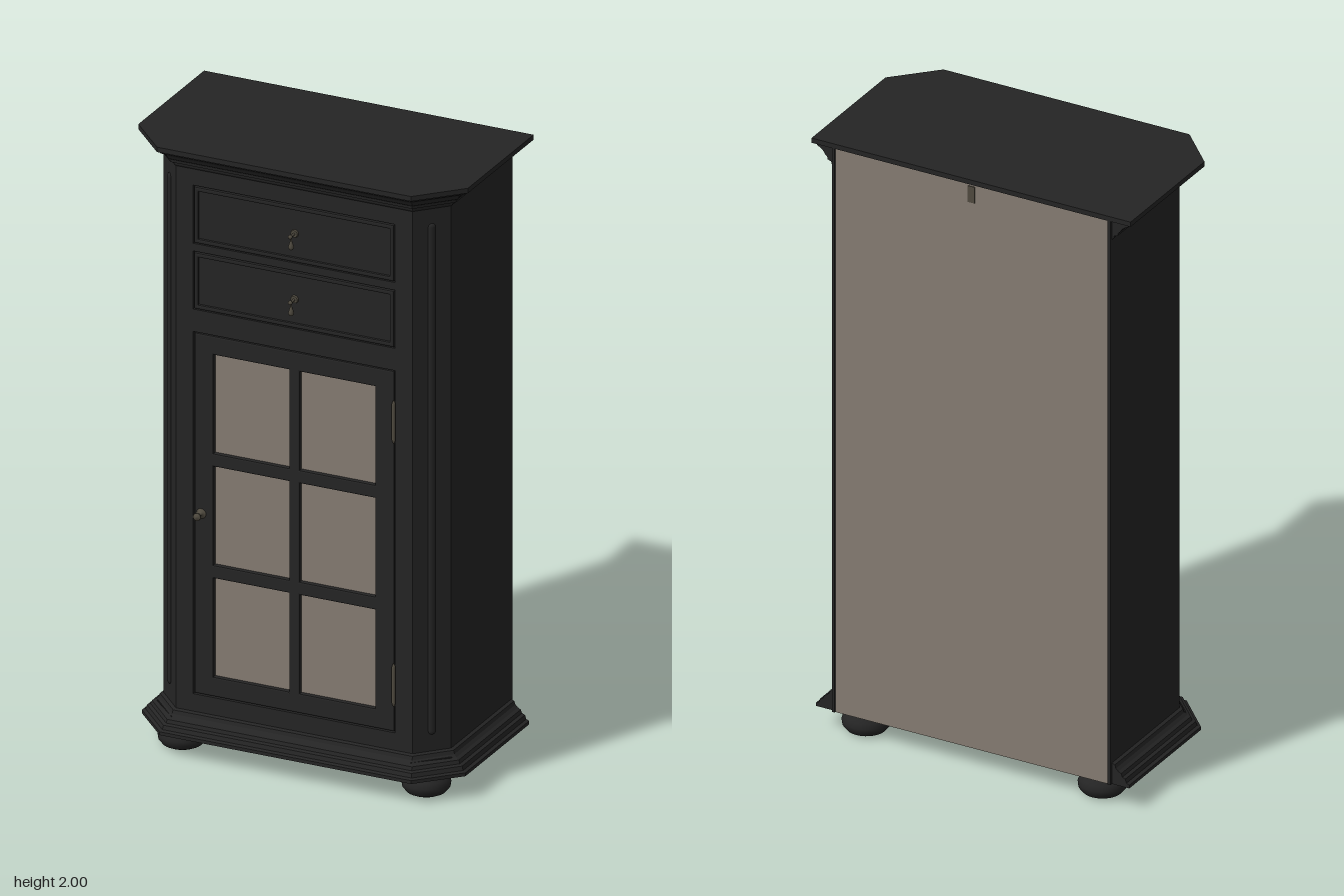
import * as THREE from 'three';

const paint = new THREE.MeshStandardMaterial({ name: 'black paint', color: 0x242424 });
const beige = new THREE.MeshStandardMaterial({ name: 'beige panel', color: 0x857c72, side: THREE.DoubleSide });
const metal = new THREE.MeshStandardMaterial({ name: 'aged metal', color: 0x4f4a3f });

const BACK = -0.28;

function add(parent, name, geometry, material, x = 0, y = 0, z = 0) {
  const mesh = new THREE.Mesh(geometry, material);
  mesh.name = name;
  mesh.position.set(x, y, z);
  parent.add(mesh);
  return mesh;
}

// Chamfered plan outline [x, z], grown by o on the front, corners and sides
function plan(o, back = BACK) {
  const k = o * Math.tan(Math.PI / 8);
  const right = [[0.48 + o, back], [0.48 + o, 0.13 + k], [0.395 + k, 0.22 + o]];
  return [...right, ...right.map(([x, z]) => [-x, z]).reverse()];
}

// Upright prism over a plan outline
function prism(points, y0, y1) {
  const shape = new THREE.Shape(points.map(([x, z]) => new THREE.Vector2(x, -z)));
  return new THREE.ExtrudeGeometry(shape, { depth: y1 - y0, bevelEnabled: false })
    .rotateX(-Math.PI / 2).translate(0, y0, 0);
}

// Moulding: sweeps a profile of [offset, y, back] round the plan
function moulding(profile) {
  const rings = profile.map(([o, y, back]) => plan(o, back).map(([x, z]) => [x, y, z]));
  const pos = [];
  for (let r = 0; r < rings.length - 1; r++) {
    const lo = rings[r], hi = rings[r + 1];
    for (let i = 0; i < lo.length; i++) {
      const j = (i + 1) % lo.length;
      pos.push(...lo[i], ...hi[i], ...hi[j], ...lo[i], ...hi[j], ...lo[j]);
    }
  }
  const g = new THREE.BufferGeometry();
  g.setAttribute('position', new THREE.Float32BufferAttribute(pos, 3));
  g.computeVertexNormals();
  return g;
}

// Rectangle outline from [x0, y0, x1, y1]
function rect([x0, y0, x1, y1], Type = THREE.Shape) {
  return new Type([[x0, y0], [x1, y0], [x1, y1], [x0, y1]].map(p => new THREE.Vector2(...p)));
}

const inset = ([x0, y0, x1, y1], d) => [x0 + d, y0 + d, x1 - d, y1 - d];

// Board with rectangular openings and softened edges
function board(outer, holes, z0, z1, bevel = 0) {
  const shape = rect(outer);
  shape.holes = holes.map(h => rect(h, THREE.Path));
  return new THREE.ExtrudeGeometry(shape, {
    depth: z1 - z0 - 2 * bevel, bevelEnabled: bevel > 0, bevelSize: bevel,
    bevelThickness: bevel, bevelOffset: -bevel, bevelSegments: 2,
  }).translate(0, 0, z0 + bevel);
}

const lathe = (pts, sides) => new THREE.LatheGeometry(pts.map(p => new THREE.Vector2(...p)), sides);

function createModel() {
  const model = new THREE.Group();
  model.name = 'cabinet';

  // Carcass with a shallow recess in front for the face frame
  const outline = plan(0);
  outline.splice(3, 0, [0.38, 0.22], [0.38, 0.198], [-0.38, 0.198], [-0.38, 0.22]);
  add(model, 'carcass', prism(outline, 0.115, 1.96), paint);

  // Face frame, drawers and door
  const drawers = [[-0.337, 1.46, 0.337, 1.65], [-0.337, 1.675, 0.337, 1.865]];
  const doorway = [-0.337, 0.203, 0.337, 1.387];
  add(model, 'faceFrame', board([-0.38, 0.12, 0.38, 1.95], [...drawers, doorway], 0.19, 0.22), paint);

  for (const d of drawers) {
    const drawer = new THREE.Group();
    drawer.name = 'drawer';
    const edge = inset(d, 0.003), inner = inset(d, 0.018);
    add(drawer, 'drawerBead', board(edge, [inner], 0.196, 0.223, 0.005), paint);
    add(drawer, 'drawerFront', board(inset(d, 0.01), [], 0.196, 0.216), paint);
    // Drop pull
    const y = (d[1] + d[3]) / 2;
    add(drawer, 'pullRose', new THREE.CylinderGeometry(0.011, 0.013, 0.006, 16).rotateX(Math.PI / 2), metal, 0, y, 0.219);
    add(drawer, 'pullPin', new THREE.CylinderGeometry(0.004, 0.004, 0.03, 10).rotateX(Math.PI / 2), metal, 0, y, 0.233);
    add(drawer, 'pullTip', new THREE.SphereGeometry(0.007, 12, 8), metal, 0, y, 0.247);
    add(drawer, 'pullDrop', lathe([[0, -0.045], [0.006, -0.043], [0.009, -0.035], [0.006, -0.025], [0.003, -0.015], [0.003, 0]], 12), metal, 0, y, 0.241);
    model.add(drawer);
  }

  const door = new THREE.Group();
  door.name = 'door';
  const panes = [];
  for (const y of [0.27, 0.635, 1.0])
    for (const x of [-0.27, 0.018]) panes.push([x, y, x + 0.252, y + 0.322]);
  add(door, 'doorFrame', board(inset(doorway, 0.003), panes, 0.199, 0.22, 0.005), paint);
  add(door, 'panes', board([-0.29, 0.25, 0.29, 1.34], [], 0.2, 0.206), beige);

  // Door knob and hinges
  const knob = lathe([[0.016, 0], [0.014, 0.004], [0.005, 0.007], [0.005, 0.022], [0.012, 0.027], [0.012, 0.032], [0, 0.035]], 16);
  add(door, 'doorKnob', knob.rotateX(Math.PI / 2), metal, -0.31, 0.797, 0.22);
  const hinge = lathe([[0, -0.072], [0.004, -0.066], [0.006, -0.058], [0.006, 0.058], [0.004, 0.066], [0, 0.072]], 12);
  for (const y of [0.363, 1.223]) add(door, 'hinge', hinge, metal, 0.337, y, 0.23);
  model.add(door);

  // Half-round strips on the chamfered corners
  for (const s of [-1, 1]) {
    const strip = add(model, 'cornerStrip', new THREE.CapsuleGeometry(0.012, 1.646, 4, 12), paint, s * 0.4375, 1.035, 0.175);
    strip.rotation.y = s * Math.PI / 4;
    strip.scale.z = 0.6;
  }

  // Cornice and top
  add(model, 'cornice', moulding([
    [0, 1.918], [0.006, 1.924], [0.008, 1.932], [0.02, 1.936], [0.022, 1.946], [0.028, 1.95],
    [0.034, 1.96], [0.044, 1.969], [0.056, 1.975], [0.058, 1.985],
  ]), paint);
  add(model, 'top', prism(plan(0.07, -0.29), 1.984, 2), paint);

  // Plinth moulding, hollow underneath
  add(model, 'plinth', moulding([
    [-0.04, 0.12, -0.26], [-0.04, 0.075, -0.26], [0.06, 0.075], [0.06, 0.086], [0.05, 0.09],
    [0.046, 0.103], [0.036, 0.107], [0.032, 0.118], [0.022, 0.123], [0.014, 0.131], [0.01, 0.142], [0, 0.146],
  ]), paint);

  // Bun feet on corner blocks
  const foot = lathe([[0, 0], [0.05, 0], [0.062, 0.006], [0.073, 0.02], [0.075, 0.034],
    [0.07, 0.05], [0.06, 0.057], [0.06, 0.062], [0.052, 0.066], [0.052, 0.078]], 28);
  for (const s of [-1, 1]) {
    for (const z of [0.15, -0.208]) {
      add(model, 'foot', foot, paint, s * 0.407, 0, z);
      const block = add(model, 'cornerBlock', new THREE.BoxGeometry(0.13, 0.05, 0.13), paint, s * 0.4, 0.101, z);
      if (z > 0) block.rotation.y = Math.PI / 4;
    }
  }

  // Back panel between the side edges, with a hanging plate
  add(model, 'backPanel', board([-0.472, 0.075, 0.472, 1.984], [], -0.286, -0.279), beige);
  for (const s of [-1, 1])
    add(model, 'sideEdge', new THREE.BoxGeometry(0.01, 1.909, 0.012), paint, s * 0.475, 1.0295, -0.284);
  add(model, 'hangingPlate', new THREE.BoxGeometry(0.024, 0.055, 0.004), metal, 0, 1.95, -0.287);

  return model;
}

export { createModel };
